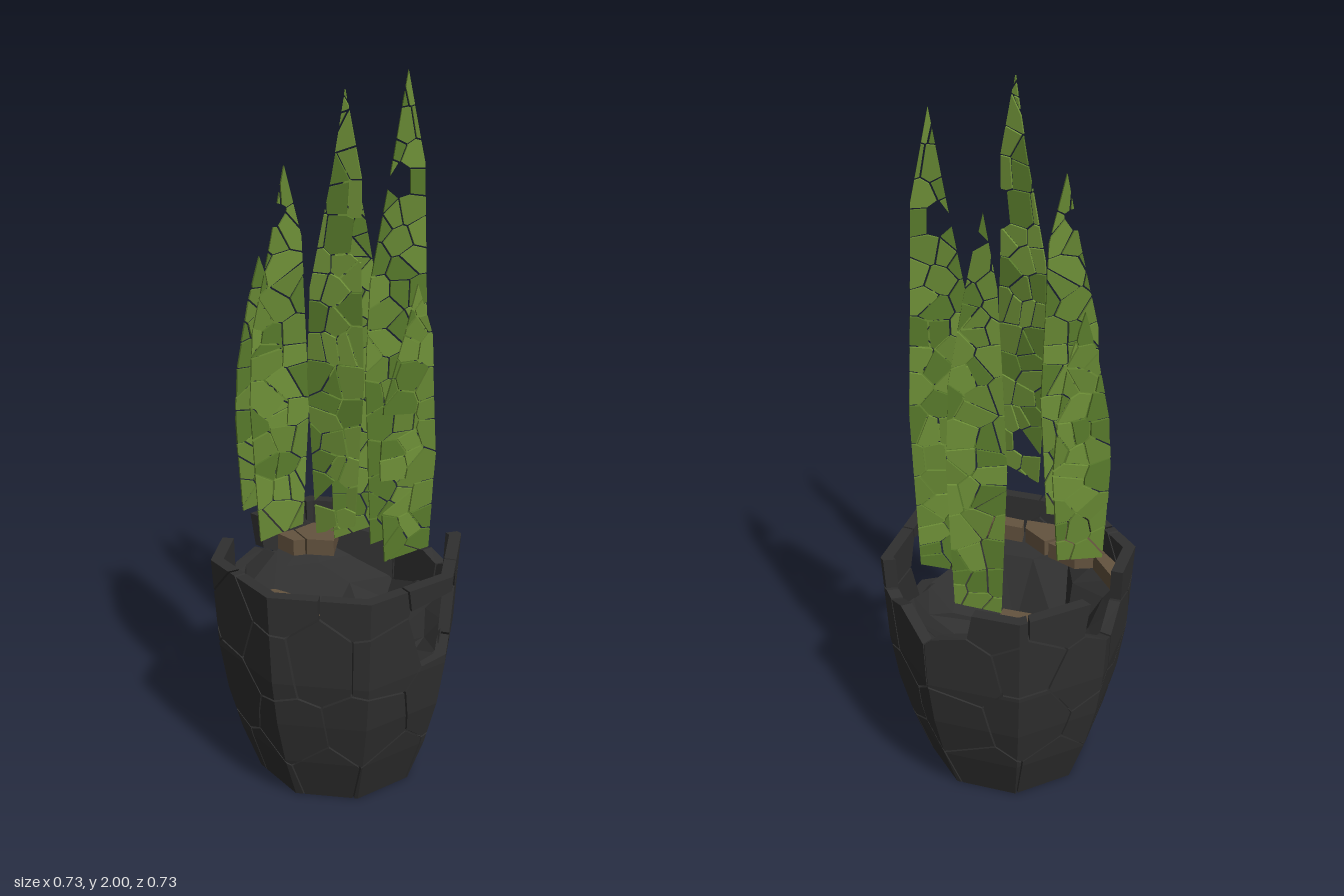
import * as THREE from 'three';

const mat = (color) => new THREE.MeshStandardMaterial({ color, flatShading: true, side: THREE.DoubleSide });
const potMat = mat(0x303030), soilMat = mat(0x64533f), leafMats = [0x6f9138, 0x668733, 0x587a2b].map(mat);

// seeded random numbers
let state = 7;
const rnd = () => (state = (state * 16807) % 2147483647) / 2147483647;

// keep the part of a polygon where n.p <= d
function clip(poly, nx, ny, d) {
  const out = [];
  poly.forEach((p, i) => {
    const q = poly[(i + 1) % poly.length];
    const a = nx * p[0] + ny * p[1] - d, b = nx * q[0] + ny * q[1] - d;
    if (a <= 0) out.push(p);
    if (a * b < 0) out.push([p[0] + (q[0] - p[0]) * a / (a - b), p[1] + (q[1] - p[1]) * a / (a - b)]);
  });
  return out;
}

// shard around one seed, with half a crack width left on every side
function shard(outline, seed, seeds, gap) {
  let poly = outline;
  for (const o of seeds) {
    const dx = o[0] - seed[0], dy = o[1] - seed[1], l = Math.hypot(dx, dy);
    if (l < 1e-6 || poly.length < 3) continue;
    const nx = dx / l, ny = dy / l;
    poly = clip(poly, nx, ny, nx * (o[0] + seed[0]) / 2 + ny * (o[1] + seed[1]) / 2 - gap);
  }
  return poly;
}

// octagonal pot surface: u counts corners from the front towards +x
const profile = [[0, 0.235], [0.14, 0.287], [0.28, 0.325], [0.42, 0.348], [0.69, 0.365]];
function radiusAt(y) {
  for (let i = 1; i < profile.length; i++) {
    const [y0, r0] = profile[i - 1], [y1, r1] = profile[i];
    if (y <= y1 || i === profile.length - 1) return r0 + (r1 - r0) * (y - y0) / (y1 - y0);
  }
}
function onPot(u, y, scale, strip = Math.floor(u)) {
  const f = u - strip, a = strip * Math.PI / 4, b = a + Math.PI / 4, r = radiusAt(y) * scale;
  return [r * (Math.sin(a) * (1 - f) + Math.sin(b) * f), y, r * (Math.cos(a) * (1 - f) + Math.cos(b) * f)];
}

function fromTriangles(positions, material, name) {
  const g = new THREE.BufferGeometry();
  g.setAttribute('position', new THREE.Float32BufferAttribute(positions, 3));
  g.computeVertexNormals();
  const m = new THREE.Mesh(g, material);
  m.name = name;
  return m;
}

// shard centres on the wall: corner count, height, 0 = piece fallen out
const wallSeeds = [
  [0.4, 0.06], [1.5, 0.08], [2.6, 0.05], [3.5, 0.08], [4.6, 0.06], [5.7, 0.09], [6.7, 0.05], [7.5, 0.08],
  [0, 0.27], [1.1, 0.33], [2.1, 0.3], [3.2, 0.28], [4.1, 0.33], [5.2, 0.27], [6.2, 0.33], [7.1, 0.24],
  [7.5, 0.5], [0.15, 0.5], [0.98, 0.57, 0], [1.9, 0.48], [2.55, 0.5], [3.4, 0.5], [4.1, 0.54], [4.8, 0.46],
  [5.6, 0.48], [5.15, 0.65, 0], [6.3, 0.55], [6.9, 0.48],
  [0.9, 0.71], [1.85, 0.7], [2.3, 0.7, 0], [2.75, 0.67, 0], [3.2, 0.7, 0], [3.8, 0.67], [4.4, 0.67],
  [5.8, 0.67], [0, 0.67], [7, 0.67],
];

function buildWall() {
  const wall = new THREE.Group();
  wall.name = 'potWall';
  const k = 0.26;
  const all = [-8, 0, 8].flatMap((o) => wallSeeds.map(([u, y]) => [(u + o) * k, y]));
  for (const [u, y, keep] of wallSeeds) {
    if (keep === 0) continue;
    const seed = [u * k, y], a = (u - 3) * k, b = (u + 3) * k;
    const cell = shard([[a, 0], [b, 0], [b, 0.69], [a, 0.69]], seed, all, 0.003);
    const pos = [];
    // fold the shard over the pot corners and height bands
    for (let s = Math.floor(u - 3); s < u + 3; s++) {
      for (let j = 0; j < profile.length - 1; j++) {
        let p = clip(clip(cell, -1, 0, -s * k), 1, 0, (s + 1) * k);
        p = clip(clip(p, 0, -1, -profile[j][0]), 0, 1, profile[j + 1][0]);
        if (p.length < 3) continue;
        const outer = p.map((q) => onPot(q[0] / k, q[1], 1, s));
        const inner = p.map((q) => onPot(q[0] / k, q[1], 0.9, s));
        for (let i = 0; i < p.length; i++) {
          const n = (i + 1) % p.length;
          if (i > 0 && n > 0) {
            pos.push(...outer[0], ...outer[i], ...outer[n], ...inner[0], ...inner[n], ...inner[i]);
          }
          pos.push(...outer[i], ...inner[i], ...inner[n], ...outer[i], ...inner[n], ...outer[n]);
        }
      }
    }
    wall.add(fromTriangles(pos, potMat, 'potShard'));
  }
  return wall;
}

// broken filling inside the wall, hollowed into a rough bowl
function buildCore() {
  const top = [0.58, 0.5, 0.44, 0.48, 0.52, 0.5, 0.46, 0.52, 0.58, 0.58, 0.48, 0.54, 0.58, 0.58, 0.58, 0.58];
  const rings = profile.slice(0, 4).map(([y]) => top.map((h, i) => onPot(i / 2, Math.min(y + 0.003, h), 0.94)));
  rings.unshift(top.map(() => [0, 0.003, 0]));
  rings.push(top.map((h, i) => onPot(i / 2, h, 0.92)));
  rings.push(top.map((h, i) => {
    const [x, , z] = onPot(i / 2, h, 0.72 + 0.08 * Math.sin(i * 2.3));
    return [x, h - 0.06, z];
  }));
  rings.push(top.map((h, i) => {
    const [x, , z] = onPot(2 * Math.floor(i / 4), 0.4, 0.38);
    return [x - 0.03, 0.33 + 0.02 * Math.sin(Math.floor(i / 4) * 2), z + 0.01];
  }));
  rings.push(top.map(() => [-0.04, 0.29, 0.02]));
  const pos = [];
  for (let r = 0; r < rings.length - 1; r++) {
    for (let i = 0; i < 16; i++) {
      const n = (i + 1) % 16, a = rings[r][i], b = rings[r][n], c = rings[r + 1][n], d = rings[r + 1][i];
      pos.push(...a, ...b, ...c, ...a, ...c, ...d);
    }
  }
  return fromTriangles(pos, potMat, 'potCore');
}

// soil pieces still stuck to the wall, as x, z outlines
const soilPieces = [
  [[-0.325, 0], [-0.3, -0.07], [-0.255, 0.075], [-0.3, 0.075]],
  [[-0.3, 0.08], [-0.2, 0.08], [-0.13, 0.15], [-0.235, 0.2], [-0.25, 0.19]],
  [[-0.23, 0.205], [-0.12, 0.16], [-0.07, 0.24], [-0.08, 0.285], [-0.22, 0.23]],
  [[-0.07, 0.285], [-0.06, 0.24], [0.06, 0.295], [0, 0.32]],
  [[-0.12, -0.27], [-0.085, -0.21], [-0.05, -0.21], [-0.07, -0.285]],
  [[-0.065, -0.285], [-0.045, -0.21], [0.03, -0.18], [0.07, -0.285], [0, -0.32]],
];
function buildSoil() {
  const soil = new THREE.Group();
  soil.name = 'soil';
  for (const pts of soilPieces) {
    const shape = new THREE.Shape(pts.map(([x, z]) => new THREE.Vector2(x, -z)));
    const g = new THREE.ExtrudeGeometry(shape, { depth: 0.05, bevelEnabled: false }).rotateX(-Math.PI / 2);
    const m = new THREE.Mesh(g, soilMat);
    m.position.y = 0.57;
    m.name = 'soilPiece';
    soil.add(m);
  }
  return soil;
}

// leaves: both edges in plan, bottom, tip height, tip shift, base width
const leaves = [
  [-0.26, -0.15, -0.1, -0.2, 0.76, 1.5, 0, 0.8],
  [0.02, -0.2, 0.18, -0.19, 0.62, 1.79, -0.02, 0.8],
  [0.09, -0.053, 0.27, -0.058, 0.66, 2, 0.02, 0.8],
  [-0.255, 0.06, -0.09, 0.035, 0.76, 1.79, 0.02, 0.75],
  [0.09, 0.105, 0.255, 0.08, 0.68, 1.47, 0.02, 0.8],
  [-0.12, 0.155, 0.01, 0.235, 0.82, 2, 0.025, 0.7],
];
function buildLeaf([x0, z0, x1, z1, bottom, tip, shift, base]) {
  const leaf = new THREE.Group();
  leaf.name = 'leaf';
  const w = Math.hypot(x1 - x0, z1 - z0) / 2, h = tip - bottom;
  const outline = [[-base * w, 0], [base * w, 0.03 * h], [w, 0.38 * h], [0.88 * w, 0.6 * h], [0.55 * w + shift, 0.82 * h],
    [shift, h], [shift - 0.45 * w, 0.82 * h], [-0.88 * w, 0.58 * h], [-w, 0.38 * h]];
  const rows = Math.round(h * 13);
  const seeds = Array.from({ length: rows * 3 }, (_, i) =>
    [((i % 3) - 1 + (rnd() - 0.5) * 1.1) * w * 0.62, (Math.floor(i / 3) + rnd()) * h / rows]);
  for (const seed of seeds) {
    const poly = shard(outline, seed, seeds, 0.0025);
    if (poly.length < 3 || rnd() < 0.04) continue;
    const shape = new THREE.Shape(poly.map(([x, y]) => new THREE.Vector2(x - seed[0], y - seed[1])));
    const g = new THREE.ExtrudeGeometry(shape, { depth: 0.007, bevelEnabled: false }).translate(0, 0, -0.0035);
    const m = new THREE.Mesh(g, leafMats[Math.floor(rnd() * 3)]);
    m.position.set(seed[0], seed[1], 0);
    m.rotation.set((rnd() - 0.5) * 0.06, (rnd() - 0.5) * 0.1, 0);
    m.name = 'leafShard';
    leaf.add(m);
  }
  leaf.position.set((x0 + x1) / 2, bottom, (z0 + z1) / 2);
  leaf.rotation.y = -Math.atan2(z1 - z0, x1 - x0);
  return leaf;
}

export function createModel() {
  state = 7;
  const model = new THREE.Group();
  model.name = 'brokenPottedPlant';
  model.add(buildWall(), buildCore(), buildSoil(), ...leaves.map(buildLeaf));
  return model;
}
